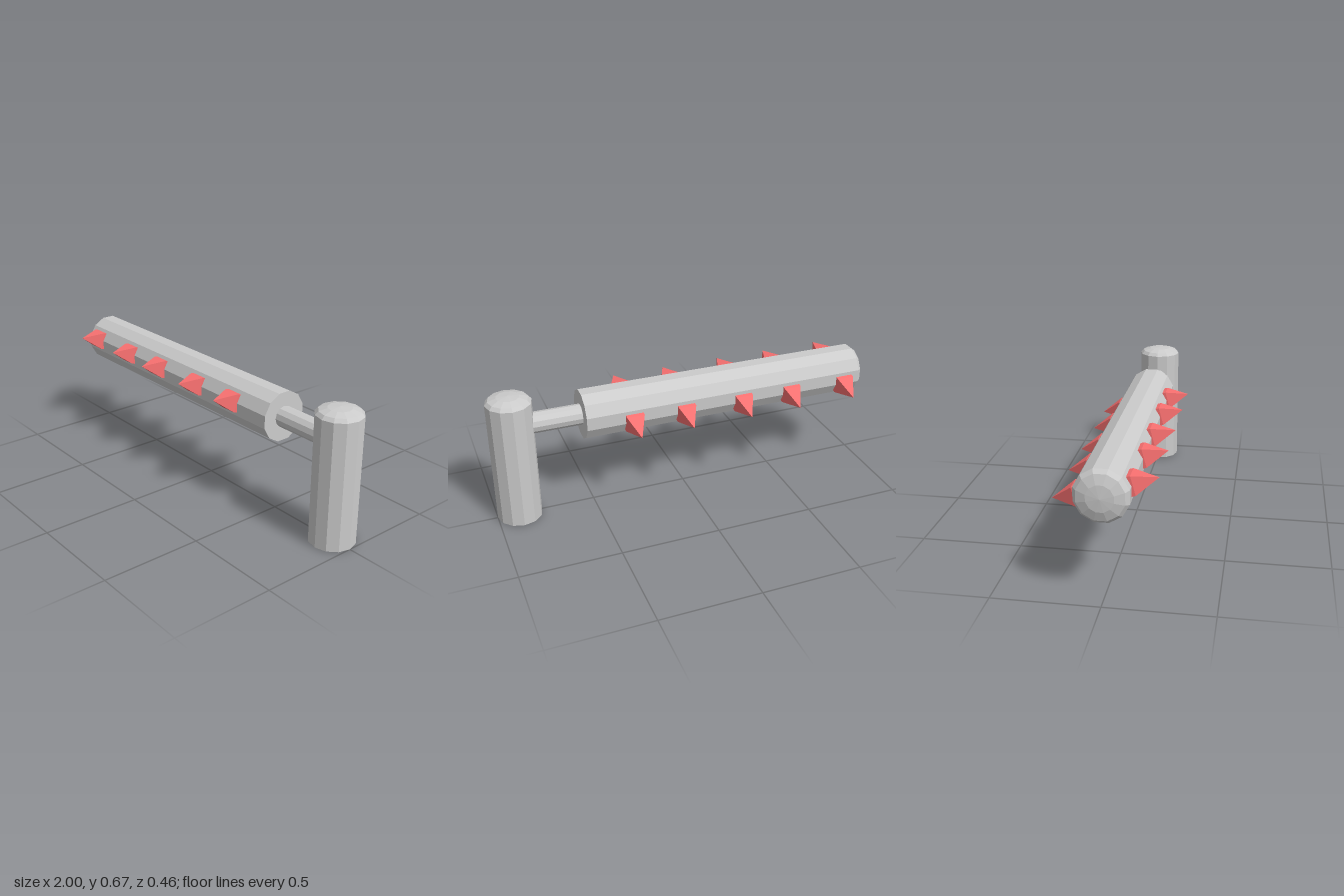
import * as THREE from 'three';

const SIDES = 12;
const AXIS_Y = 0.507;

export function createModel() {
  const model = new THREE.Group();
  const grey = new THREE.MeshStandardMaterial({ color: 0xcccccc, flatShading: true });
  const shell = new THREE.MeshStandardMaterial({ color: 0xcccccc, flatShading: true, side: THREE.DoubleSide });
  const red = new THREE.MeshStandardMaterial({ color: 0xf87070, flatShading: true });

  const add = (parent, name, geometry, material) => {
    const mesh = new THREE.Mesh(geometry, material);
    mesh.name = name;
    parent.add(mesh);
    return mesh;
  };
  const dome = (radius, height) =>
    new THREE.SphereGeometry(1, SIDES, 3, 0, Math.PI * 2, 0, Math.PI / 2).scale(radius, height, radius);

  // Upright post: hollow below, shallow dome on top
  const post = new THREE.Group();
  post.name = 'post';
  post.position.x = 0.887;
  add(post, 'postWall', new THREE.CylinderGeometry(0.113, 0.113, 0.64, SIDES, 1, true).translate(0, 0.32, 0), shell);
  add(post, 'postDome', dome(0.113, 0.034).translate(0, 0.64, 0), shell);
  model.add(post);

  // Horizontal arm, all parts share one axis along x
  const arm = new THREE.Group();
  arm.name = 'arm';
  arm.position.y = AXIS_Y;
  model.add(arm);

  // Lays a y-aligned shape along x, its top pointing to -x
  const lay = (geometry, turn, x) => geometry.rotateY(turn).rotateZ(Math.PI / 2).translate(x, 0, 0);
  const turn = Math.PI / SIDES;
  add(arm, 'beam', lay(new THREE.CylinderGeometry(0.126, 0.126, 1.5, SIDES), turn, -0.21), grey);
  add(arm, 'beamDome', lay(dome(0.126, 0.04), turn, -0.96), grey);
  add(arm, 'connectingRod', lay(new THREE.CylinderGeometry(0.053, 0.053, 0.27, SIDES), 0, 0.67), grey);

  // Two opposite rows of square spikes, tilted 15 degrees about the arm
  const half = 0.0455;
  const point = new THREE.ConeGeometry(half * Math.SQRT2, 0.109, 4)
    .rotateY(Math.PI / 4).rotateX(Math.PI / 2).translate(0, 0, 0.186);
  const base = new THREE.BoxGeometry(half * 2, half * 2, 0.0415).translate(0, 0, 0.11075);
  for (const [row, angle] of [['front', 0], ['back', Math.PI]]) {
    const spikes = new THREE.Group();
    spikes.name = row + 'Spikes';
    spikes.rotation.x = angle - Math.PI / 12;
    for (const x of [-0.873, -0.56, -0.287, 0.026, 0.298]) {
      const spike = new THREE.Group();
      spike.name = 'spike';
      spike.position.x = x;
      add(spike, 'spikePoint', point, red);
      add(spike, 'spikeBase', base, red);
      spikes.add(spike);
    }
    arm.add(spikes);
  }
  return model;
}
